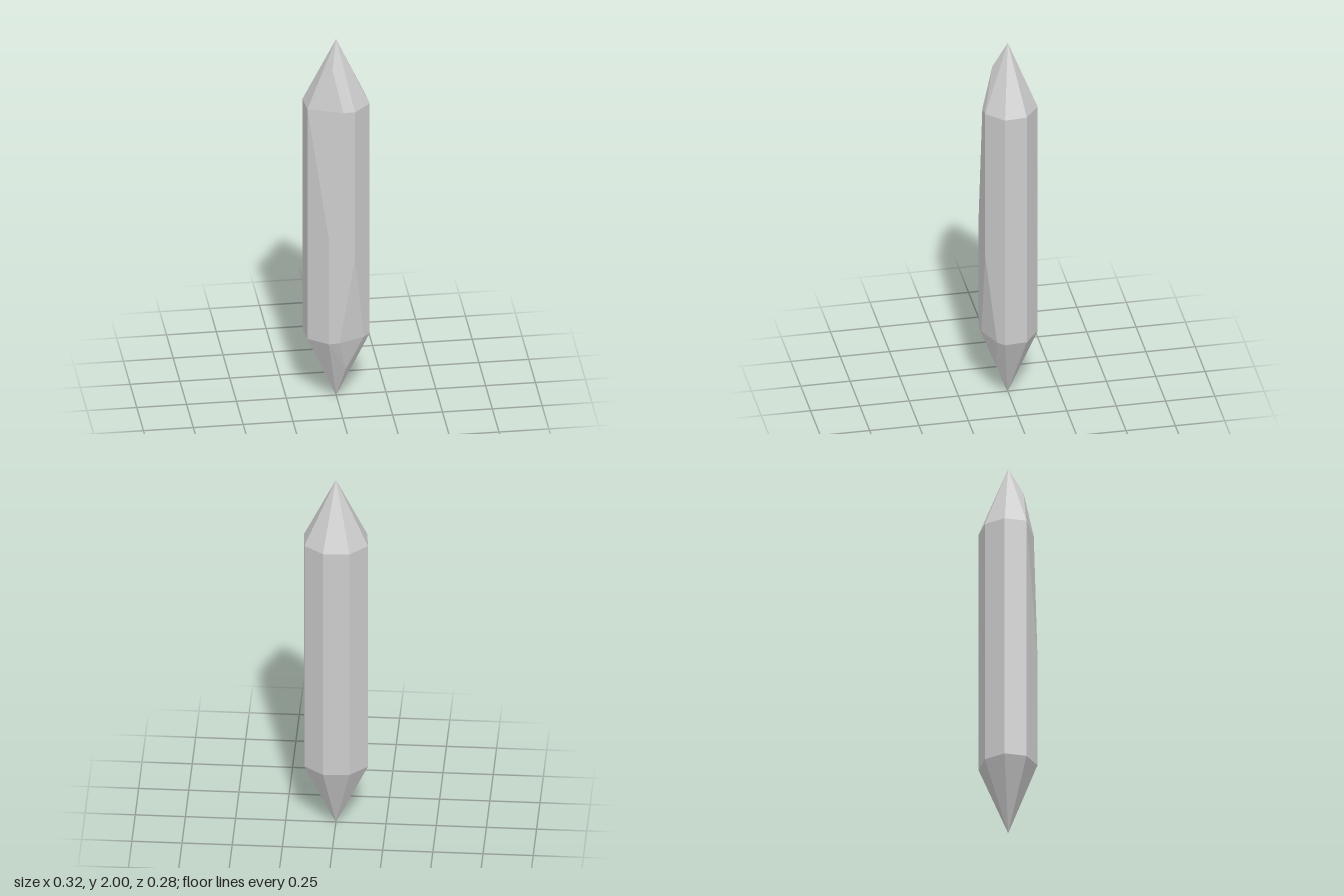
import * as THREE from 'three';
import { ConvexGeometry } from 'three/addons/geometries/ConvexGeometry.js';

// Slightly irregular eight-sided outline (x, z), going round from the front left
const OUTLINE = [
  [-0.163, -0.048], [-0.077, -0.132], [0.055, -0.14], [0.153, -0.066],
  [0.162, 0.046], [0.077, 0.13], [-0.055, 0.138], [-0.153, 0.064],
];
const LOW = 0.36, HIGH = 1.65;
const UPPER_CHIP = 6, LOWER_CHIP = 5; // corners that are chipped away

export function createModel() {
  const v = (x, y, z) => new THREE.Vector3(x, y, z);

  // Two tips
  const points = [v(0, 0, 0), v(0, 2, 0)];

  // Shaft corners, leaving out the chipped ones
  OUTLINE.forEach(([x, z], i) => {
    if (i !== LOWER_CHIP) points.push(v(x, LOW, z));
    if (i !== UPPER_CHIP) points.push(v(x, HIGH, z));
  });

  // Upper chip: point on the cap edge, on the rim, and down the shaft edge
  points.push(v(-0.028, 1.86, 0.072), v(0.02, HIGH, 0.133), v(-0.055, 0.95, 0.138));

  // Lower chip: shaft edge, both rim sides, and the cap edge
  points.push(v(0.077, 0.83, 0.13), v(0, LOW, 0.134), v(0.128, LOW, 0.08), v(0.04, 0.18, 0.069));

  const crystal = new THREE.Mesh(
    new ConvexGeometry(points),
    new THREE.MeshStandardMaterial({ color: 0xcccccc, flatShading: true }),
  );
  crystal.name = 'crystal';

  const group = new THREE.Group();
  group.name = 'crystalShard';
  group.add(crystal);
  return group;
}
